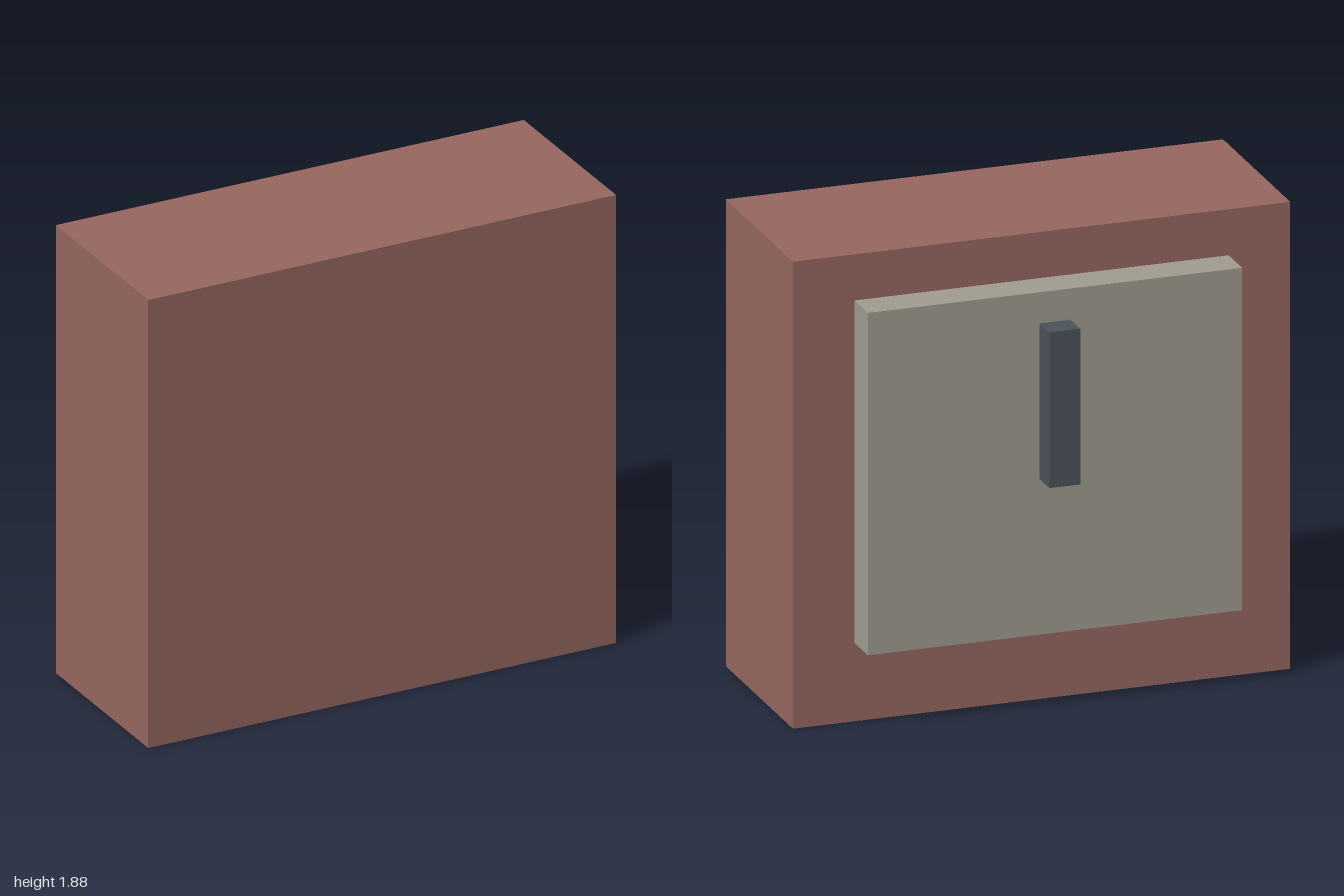
import * as THREE from 'three';

// Box given by its lower and upper corners
function block(name, color, [x0, y0, z0], [x1, y1, z1]) {
  const mesh = new THREE.Mesh(
    new THREE.BoxGeometry(x1 - x0, y1 - y0, z1 - z0),
    new THREE.MeshStandardMaterial({ color })
  );
  mesh.position.set((x0 + x1) / 2, (y0 + y1) / 2, (z0 + z1) / 2);
  mesh.name = name;
  return mesh;
}

export function createModel() {
  const group = new THREE.Group();
  group.name = 'wallBlock';
  group.add(
    // Solid main body
    block('body', 0x96675f, [-1, 0, -0.245], [1, 1.875, 0.505]),
    // Raised panel on the back
    block('backPanel', 0xa09c90, [-0.7525, 0.315, -0.395], [0.7525, 1.69, -0.245]),
    // Upright bar handle on the panel
    block('handle', 0x4c535b, [-0.0625, 0.94, -0.505], [0.0625, 1.565, -0.395])
  );
  return group;
}
